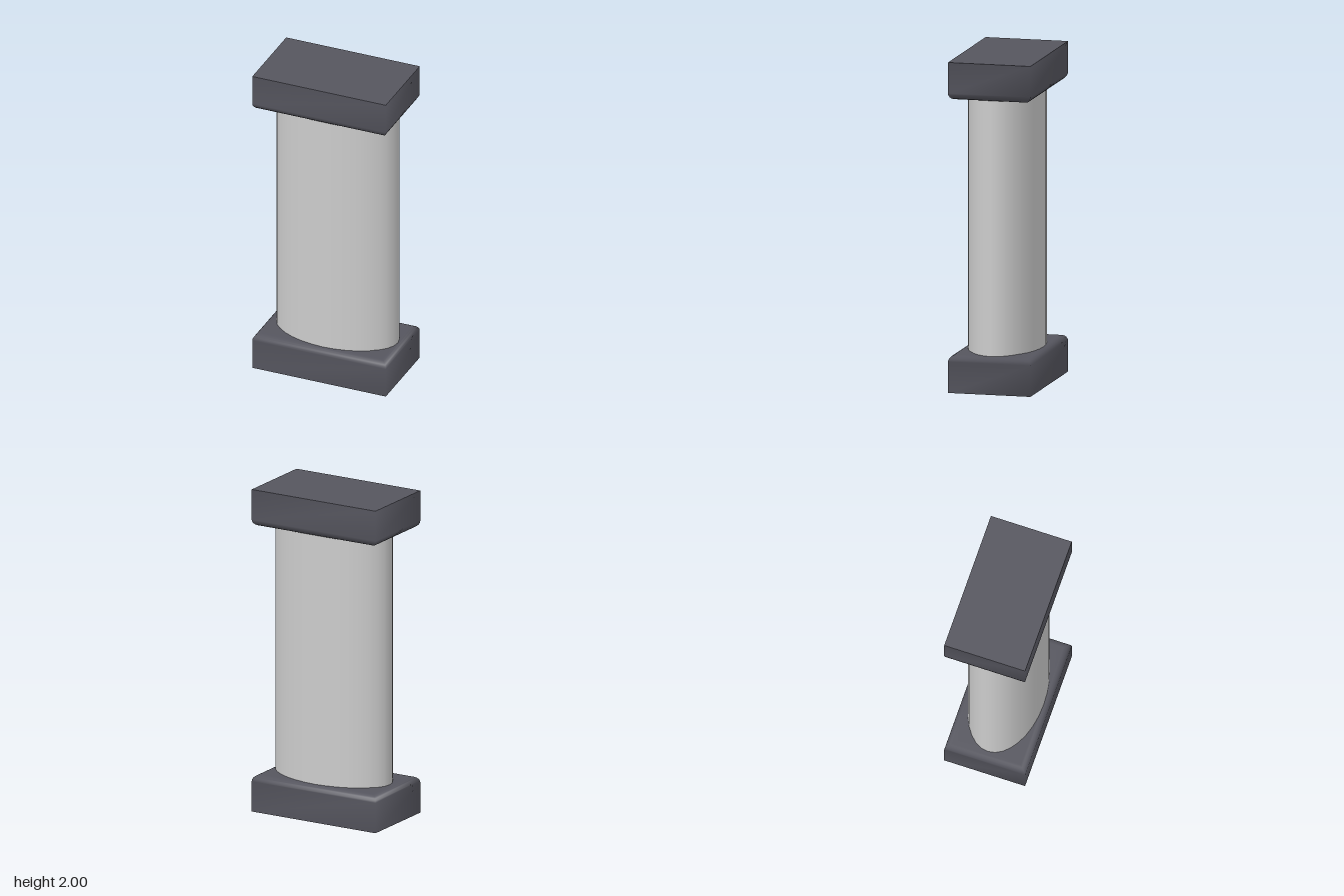
import * as THREE from 'three';

const HALF_X = 0.433, HALF_Z = 0.254, CAP_H = 0.23, ROUND = 0.04;

// Rectangular block: flat sharp-edged base, softly rounded inner rim
function blockGeometry() {
  const rings = [[0, 0], [0, CAP_H - ROUND - 0.003]]; // [inset, height]
  for (let i = 1; i <= 5; i++) {
    const a = (i / 5) * Math.PI / 2;
    rings.push([ROUND * (1 - Math.cos(a)), CAP_H - 0.003 - ROUND * (1 - Math.sin(a))]);
  }
  rings.push([0.12, CAP_H]);

  const corners = [[1, 1], [1, -1], [-1, -1], [-1, 1]];
  const pos = [], index = [];
  for (const [inset, y] of rings)
    for (const [sx, sz] of corners) pos.push(sx * (HALF_X - inset), y, sz * (HALF_Z - inset));
  for (let r = 0; r < rings.length - 1; r++)
    for (let k = 0; k < 4; k++) {
      const a = r * 4 + k, b = r * 4 + (k + 1) % 4;
      index.push(a, b, b + 4, a, b + 4, a + 4);
    }
  // inner face
  const t = (rings.length - 1) * 4;
  index.push(t, t + 1, t + 2, t, t + 2, t + 3);
  // base with its own vertices, so its edge stays sharp
  const n = pos.length / 3;
  for (const [sx, sz] of corners) pos.push(sx * HALF_X, 0, sz * HALF_Z);
  index.push(n, n + 2, n + 1, n, n + 3, n + 2);

  const geo = new THREE.BufferGeometry();
  geo.setAttribute('position', new THREE.Float32BufferAttribute(pos, 3));
  geo.setIndex(index);
  geo.computeVertexNormals();
  return geo;
}

export function createModel() {
  const group = new THREE.Group();
  const dark = new THREE.MeshStandardMaterial({ color: 0x55555e });
  const grey = new THREE.MeshStandardMaterial({ color: 0xcccccc });

  // Base and matching upside-down capital
  const block = blockGeometry();
  const base = new THREE.Mesh(block, dark);
  base.name = 'base';
  const capital = new THREE.Mesh(block, dark);
  capital.name = 'capital';
  capital.rotation.x = Math.PI;
  capital.position.y = 2;

  // Oval shaft, set slightly off centre, ends sunk into the blocks
  const shaftGeo = new THREE.CylinderGeometry(1, 1, 1.6, 32);
  shaftGeo.scale(0.3875, 1, 0.22);
  const shaft = new THREE.Mesh(shaftGeo, grey);
  shaft.name = 'shaft';
  shaft.position.set(0.0125, 1, 0);

  group.add(base, shaft, capital);
  return group;
}
